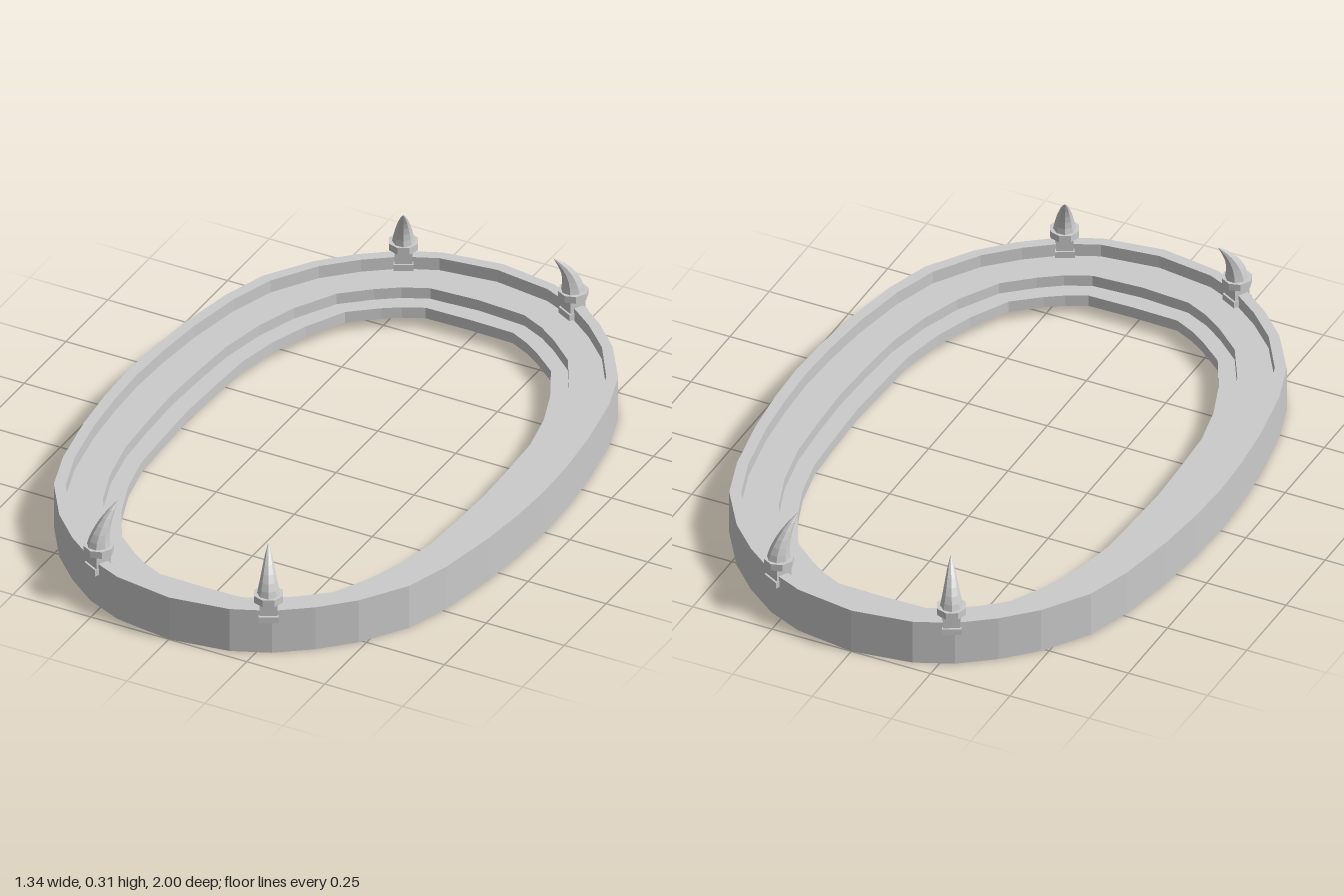
import * as THREE from 'three';

const material = new THREE.MeshStandardMaterial({ color: 0xcccccc, flatShading: true, side: THREE.DoubleSide });

// One quarter of the oval, from the side (+x) to the front (+z), as [x, z]
const OUTER = [[0.67, 0], [0.664, 0.145], [0.648, 0.3], [0.615, 0.485], [0.57, 0.625],
  [0.48, 0.76], [0.39, 0.85], [0.29, 0.925], [0.18, 0.973], [0, 1]];
const INNER = [[0.475, 0], [0.47, 0.145], [0.462, 0.3], [0.435, 0.43], [0.392, 0.55],
  [0.33, 0.67], [0.25, 0.735], [0.2, 0.768], [0.14, 0.797], [0, 0.8]];

// Terraced shell profile: [fraction from outer to inner outline, y]
const PROFILE = [[0, 0], [0, 0.14], [0.175, 0.14], [0.175, 0.1],
  [0.725, 0.1], [0.725, 0.065], [1, 0.065], [1, 0.03]];

// Mirrors a quarter outline into a closed loop
function fullLoop(quarter) {
  const back = quarter.slice(0, -1).reverse();
  const half = [...quarter, ...back.map(([x, z]) => [-x, z])];
  return [...half, ...half.slice(1, -1).reverse().map(([x, z]) => [x, -z])];
}

// Sweeps the terraced profile around the oval
function terracedRing() {
  const outer = fullLoop(OUTER), inner = fullLoop(INNER);
  const n = outer.length, m = PROFILE.length;
  const positions = [], indices = [];
  for (let i = 0; i < n; i++) {
    for (const [t, y] of PROFILE) {
      positions.push(
        THREE.MathUtils.lerp(outer[i][0], inner[i][0], t), y,
        THREE.MathUtils.lerp(outer[i][1], inner[i][1], t));
    }
    for (let j = 0; j < m - 1; j++) {
      const a = i * m + j, b = ((i + 1) % n) * m + j;
      indices.push(a, a + 1, b, b, a + 1, b + 1);
    }
  }
  const geometry = new THREE.BufferGeometry();
  geometry.setAttribute('position', new THREE.Float32BufferAttribute(positions, 3));
  geometry.setIndex(indices);
  const flat = geometry.toNonIndexed();
  flat.computeVertexNormals();
  return flat;
}

// Tapered horn that curls toward local -z
function hornGeometry() {
  const height = 0.128, radius = 0.032;
  const geometry = new THREE.CylinderGeometry(1, 1, height, 8, 6);
  geometry.translate(0, height / 2, 0);
  const p = geometry.attributes.position;
  for (let i = 0; i < p.count; i++) {
    const t = Math.min(1, p.getY(i) / height);
    const r = radius * Math.pow(Math.max(0, 1 - t), 0.75) + 0.001;
    p.setXYZ(i, p.getX(i) * r, p.getY(i), p.getZ(i) * r * 1.1 - 0.065 * t * t);
  }
  geometry.computeVertexNormals();
  return geometry;
}

function add(group, name, geometry, y, z = 0) {
  const mesh = new THREE.Mesh(geometry, material);
  mesh.name = name;
  mesh.position.set(0, y, z);
  group.add(mesh);
}

// Horn with its collar and the bracket that grips the rim
function hornMount() {
  const group = new THREE.Group();
  add(group, 'bracketFoot', new THREE.BoxGeometry(0.056, 0.02, 0.062), 0.115);
  add(group, 'bracketBody', new THREE.BoxGeometry(0.05, 0.06, 0.05), 0.14);
  const collar = new THREE.CylinderGeometry(0.044, 0.044, 0.022, 8);
  collar.rotateY(Math.PI / 8);
  add(group, 'hornCollar', collar, 0.176);
  add(group, 'horn', hornGeometry(), 0.184);
  return group;
}

export function createModel() {
  const model = new THREE.Group();
  model.name = 'ovalTerrace';

  const ring = new THREE.Mesh(terracedRing(), material);
  ring.name = 'terracedRing';
  model.add(ring);

  // Four horns on the rim, curling toward the centre
  for (const sx of [1, -1]) {
    for (const sz of [1, -1]) {
      const mount = hornMount();
      mount.name = (sz > 0 ? 'front' : 'back') + (sx > 0 ? 'Left' : 'Right') + 'Horn';
      mount.position.set(sx * 0.272, 0, sz * 0.911);
      mount.rotation.y = Math.atan2(sx * 0.47, sz * 0.88);
      model.add(mount);
    }
  }
  return model;
}
